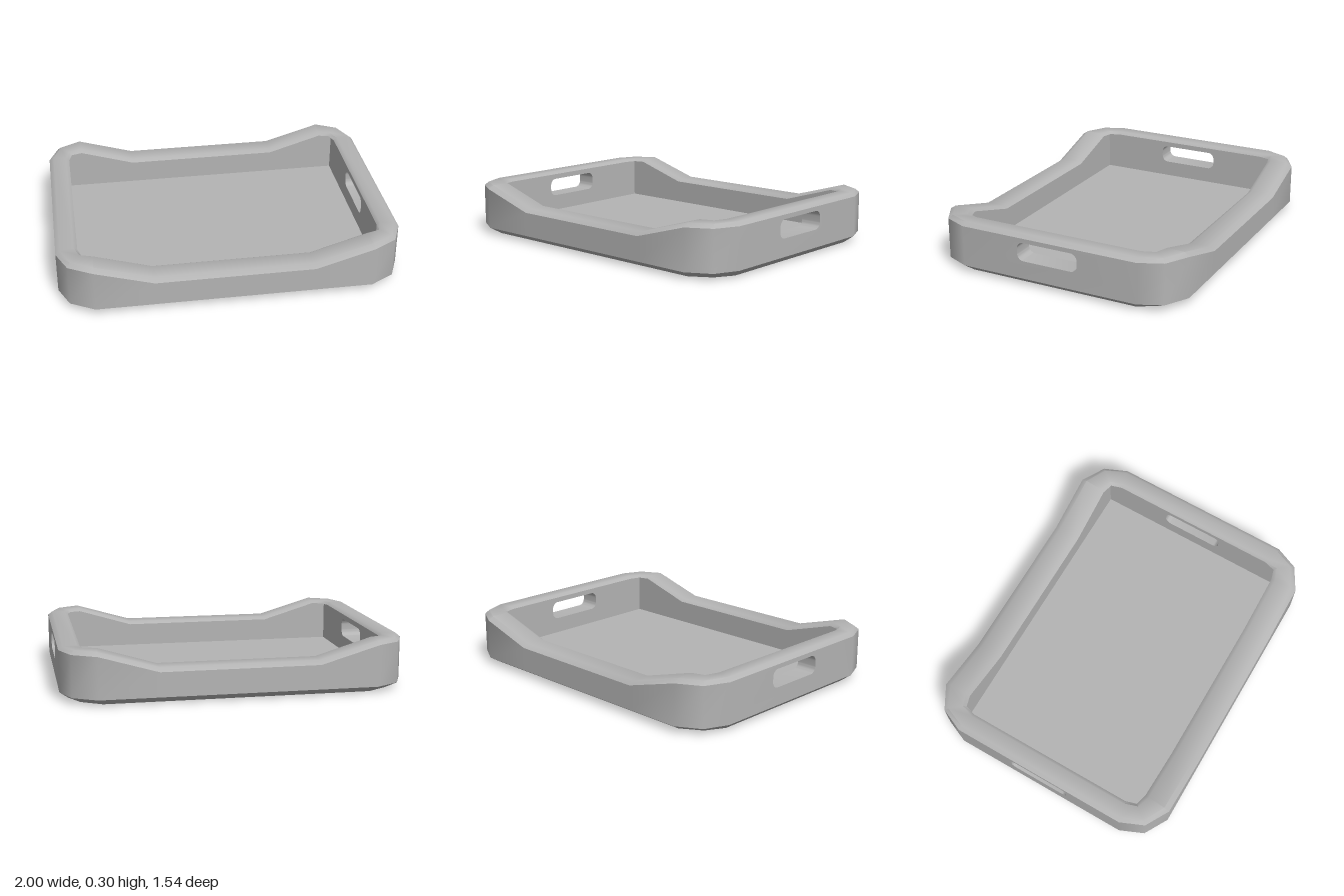
import * as THREE from 'three';
import { toCreasedNormals } from 'three/addons/utils/BufferGeometryUtils.js';

const CREASE = 0.72;
const FLOOR = 0.05, LIP = 0.288, WALL_BASE = 0.04, WALL_TOP = 0.283;
const DIP = [0, 0, 0, -0.1]; // the long sides are lowered in the middle

// One quadrant of each outline [x, z], from the short side to the long side
const OUTER = [[1, 0.55], [0.94, 0.69], [0.8, 0.77], [0.46, 0.77]];
const BASE = [[0.95, 0.52], [0.89, 0.63], [0.77, 0.705], [0.46, 0.705]];
const INNER = [[0.875, 0.52], [0.855, 0.587], [0.79, 0.605], [0.46, 0.605]];
const SQUARE = [[0.875, 0.52], [0.875, 0.605], [0.79, 0.605], [0.46, 0.605]];
const CENTRE = [[0, 0], [0, 0], [0, 0], [0, 0]];

// Mirrors a quadrant into a closed loop of 16 points
function ring(quad, y, dipped = false) {
  const q = quad.map(([x, z], i) => new THREE.Vector3(x, y + (dipped ? DIP[i] : 0), z));
  const r = [...q].reverse();
  const flip = (list, sx, sz) => list.map(p => new THREE.Vector3(p.x * sx, p.y, p.z * sz));
  return [...q, ...flip(r, -1, 1), ...flip(q, -1, -1), ...flip(r, 1, -1)];
}

function between(t) {
  return OUTER.map(([x, z], i) => [x + (INNER[i][0] - x) * t, z + (INNER[i][1] - z) * t]);
}

function addTriangle(out, a, b, c) {
  const t = new THREE.Triangle(a, b, c);
  if (t.getArea() > 1e-7) out.push(...a.toArray(), ...b.toArray(), ...c.toArray());
}

// Skins two rings; skipEnds leaves the short sides open for the handle panels
function addBand(out, low, high, skipEnds = false) {
  for (let i = 0; i < 16; i++) {
    if (skipEnds && i % 8 === 7) continue;
    const j = (i + 1) % 16;
    addTriangle(out, low[i], high[i], low[j]);
    addTriangle(out, low[j], high[i], high[j]);
  }
}

function handleHole() {
  const w = 0.19, y0 = 0.147, y1 = 0.257, r = 0.04;
  const hole = new THREE.Path();
  hole.absarc(w - r, y0 + r, r, -Math.PI / 2, 0);
  hole.absarc(w - r, y1 - r, r, 0, Math.PI / 2);
  hole.absarc(-w + r, y1 - r, r, Math.PI / 2, Math.PI);
  hole.absarc(-w + r, y0 + r, r, Math.PI, Math.PI * 1.5);
  hole.closePath();
  return hole;
}

// Upright end panel with the handle cut out, facing dir along x
function addPanel(out, x, dir, half, y0, y1) {
  const shape = new THREE.Shape([[-half, y0], [half, y0], [half, y1], [-half, y1]]
    .map(p => new THREE.Vector2(...p)));
  shape.holes.push(handleHole());
  const geo = new THREE.ShapeGeometry(shape, 4).toNonIndexed();
  geo.rotateY(dir * Math.PI / 2).translate(x, 0, 0);
  out.push(...geo.attributes.position.array);
}

function makeMesh(name, positions, material) {
  const geo = new THREE.BufferGeometry();
  geo.setAttribute('position', new THREE.Float32BufferAttribute(positions, 3));
  const mesh = new THREE.Mesh(toCreasedNormals(geo, CREASE), material);
  mesh.name = name;
  return mesh;
}

export function createModel() {
  const group = new THREE.Group();
  group.name = 'servingTray';
  const grey = new THREE.MeshStandardMaterial({ color: 0xb4b4b4 });
  grey.name = 'plain grey';

  // Underside, outer wall, rounded rim and inner wall
  const body = [];
  const base = ring(BASE, 0), foot = ring(OUTER, WALL_BASE);
  const edge = ring(OUTER, WALL_TOP, true);
  const rimOut = ring(between(0.2), 0.304, true);
  const rimIn = ring(between(0.85), 0.304, true);
  const lip = ring(INNER, LIP, true), wallTop = ring(SQUARE, LIP, true);
  const wallFoot = ring(SQUARE, FLOOR);
  addBand(body, ring(CENTRE, 0), base);
  addBand(body, base, foot);
  addBand(body, foot, edge, true);
  addBand(body, edge, rimOut);
  addBand(body, rimOut, rimIn);
  addBand(body, rimIn, lip);
  addBand(body, lip, wallTop);
  addBand(body, wallTop, wallFoot, true);
  for (const s of [1, -1]) {
    addPanel(body, s, s, 0.55, WALL_BASE, WALL_TOP);
    addPanel(body, s * 0.875, -s, 0.52, FLOOR, LIP);
  }
  group.add(makeMesh('trayBody', body, grey));

  // Floor
  const floor = [];
  addBand(floor, wallFoot, ring(CENTRE, FLOOR));
  group.add(makeMesh('trayFloor', floor, grey));

  // Linings of the handle openings
  const outline = handleHole().getPoints(4);
  for (const [name, x0, x1] of [['leftHandleLining', 0.875, 1], ['rightHandleLining', -1, -0.875]]) {
    const lining = [];
    outline.forEach((p, i) => {
      const q = outline[(i + 1) % outline.length];
      const at = (x, v) => new THREE.Vector3(x, v.y, v.x);
      addTriangle(lining, at(x0, p), at(x0, q), at(x1, p));
      addTriangle(lining, at(x0, q), at(x1, q), at(x1, p));
    });
    group.add(makeMesh(name, lining, grey));
  }
  return group;
}
